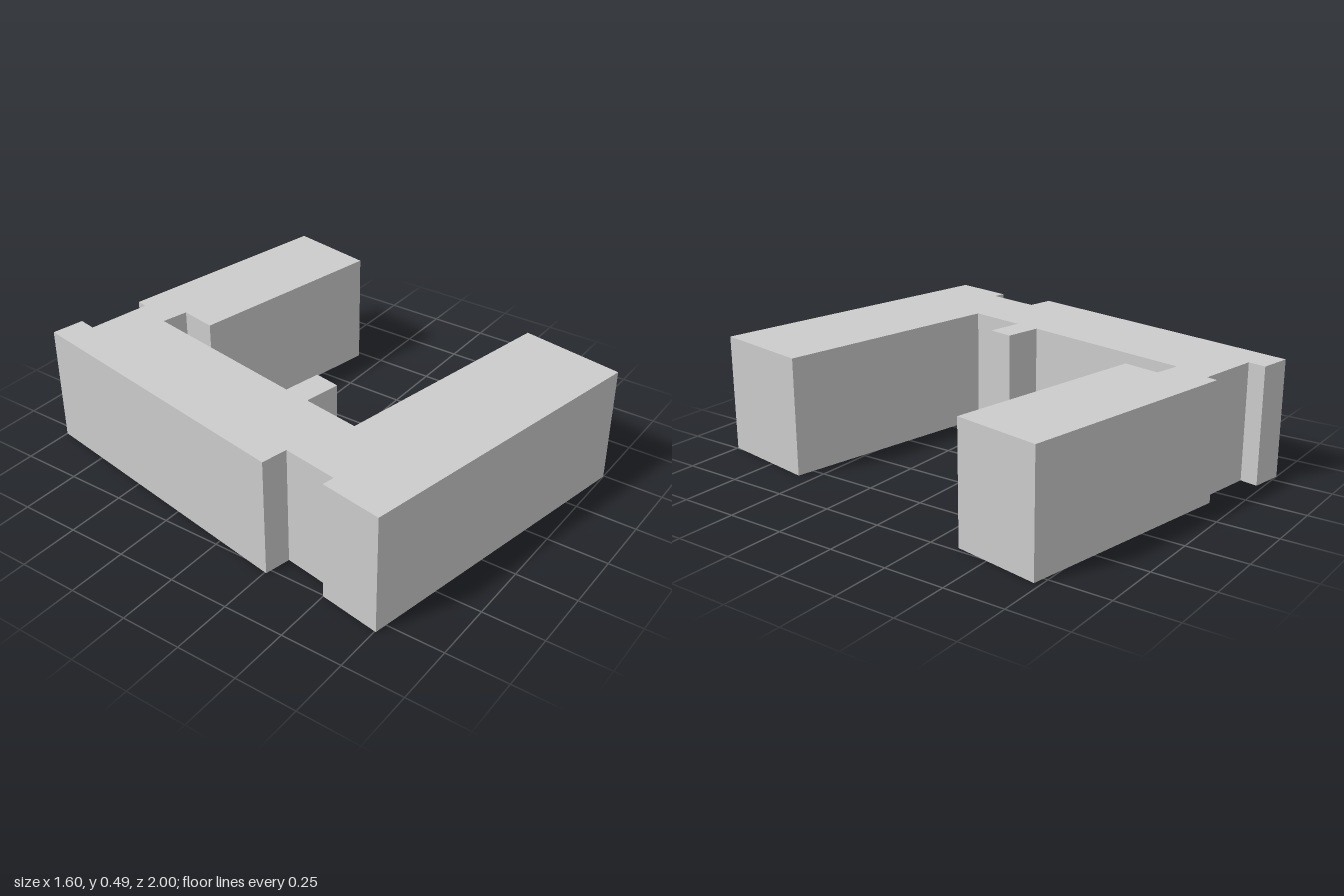
import * as THREE from 'three';

const HEIGHT = 0.493;

// Ground plan as [x, z], clockwise seen from above
const PLAN = [
  // back edge with its recess, then the back wing
  [-0.54, -1], [-0.405, -0.975], [-0.42, -0.9], [-0.155, -0.855], [-0.145, -0.9],
  [0.797, -0.725], [0.73, -0.36], [-0.13, -0.52], [-0.1, -0.675], [-0.21, -0.7],
  // courtyard side with the small porch
  [-0.345, 0.037], [-0.19, 0.068], [-0.21, 0.175], [-0.362, 0.147], [-0.403, 0.387],
  // front wing
  [0.572, 0.57], [0.495, 1], [-0.8, 0.755],
  // notch in the outer long side
  [-0.755, 0.5], [-0.705, 0.51], [-0.665, 0.28], [-0.773, 0.257],
];

// One upright quad per plan edge, facing outward
function wallGeometry(plan, height) {
  const positions = [];
  plan.forEach(([ax, az], i) => {
    const [bx, bz] = plan[(i + 1) % plan.length];
    positions.push(bx, 0, bz, ax, 0, az, ax, height, az);
    positions.push(bx, 0, bz, ax, height, az, bx, height, bz);
  });
  const geometry = new THREE.BufferGeometry();
  geometry.setAttribute('position', new THREE.Float32BufferAttribute(positions, 3));
  geometry.computeVertexNormals();
  return geometry;
}

// Flat cap over the plan, facing up
function roofGeometry(plan, height) {
  const shape = new THREE.Shape(plan.map(([x, z]) => new THREE.Vector2(x, -z)));
  return new THREE.ShapeGeometry(shape).rotateX(-Math.PI / 2).translate(0, height, 0);
}

export function createModel() {
  const grey = new THREE.MeshStandardMaterial({ color: 0xcccccc, side: THREE.DoubleSide });
  grey.name = 'light grey';

  const model = new THREE.Group();
  model.name = 'building';

  // The shell is open underneath
  const walls = new THREE.Mesh(wallGeometry(PLAN, HEIGHT), grey);
  walls.name = 'walls';
  const roof = new THREE.Mesh(roofGeometry(PLAN, HEIGHT), grey);
  roof.name = 'roof';
  model.add(walls, roof);
  return model;
}
